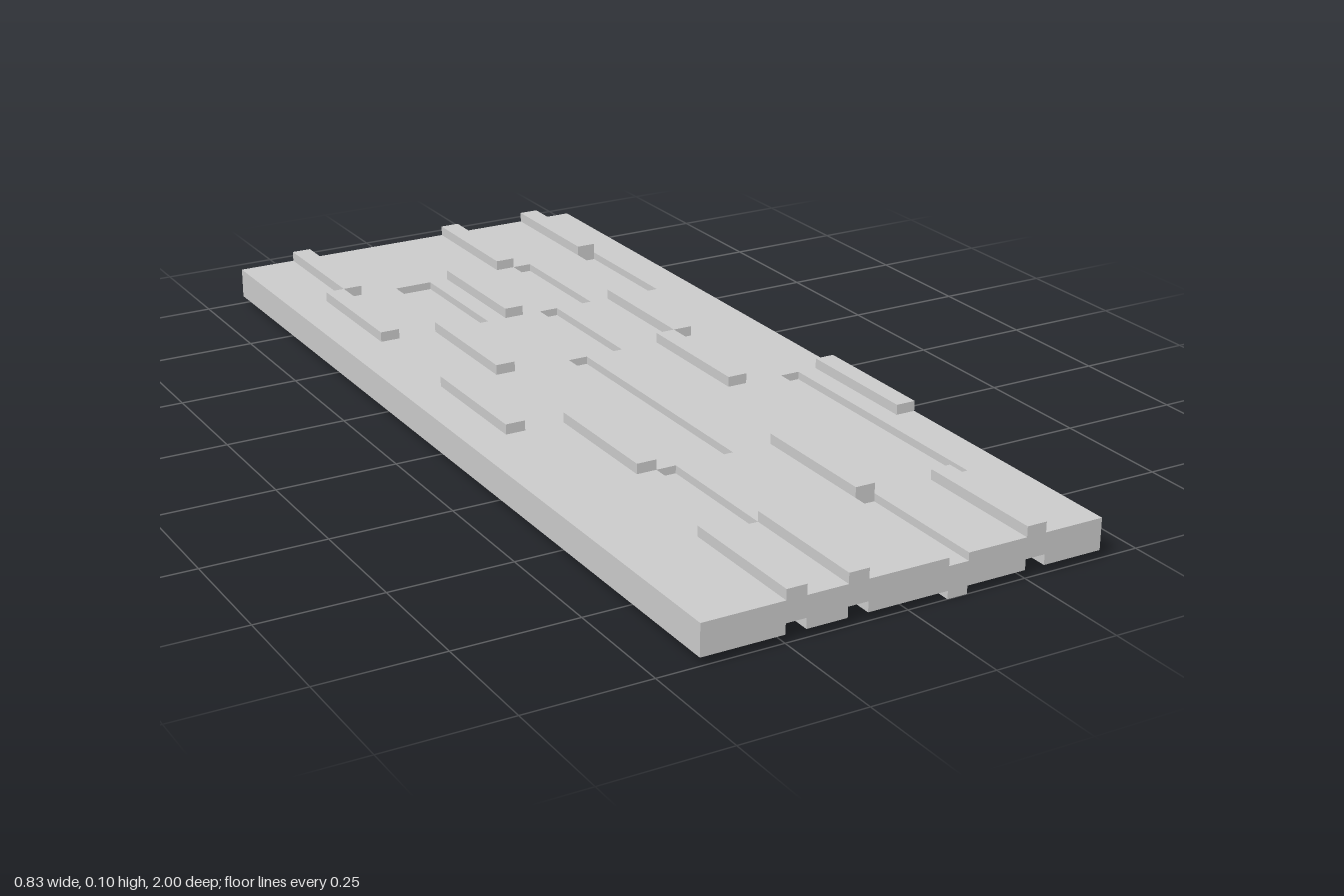
import * as THREE from 'three';

const COLS = 20, ROWS = 7, WIDTH = 0.832, LENGTH = 2;
const W = WIDTH / COLS, D = LENGTH / ROWS;
const BASE = 0.016, THICK = 0.0635, UP = 0.021, DOWN = -0.016;

// Height steps per strip (left edge of x first); one sign per block, back to front
const STEPS = {
  2: '.+.+...',
  3: '+......',
  4: '......+',
  5: '..+.+..',
  6: '.-...-.',
  7: '.-....+',
  9: '.+.--..',
  11: '..-....',
  12: '+....+-',
  13: '.-.....',
  14: '...+...',
  15: '..+....',
  16: '......+',
  17: '+-..--.',
  19: '....+..',
};

const LEVEL = { '.': 0, '+': UP, '-': DOWN };
const NAME = { '.': 'plank', '+': 'raisedPlank', '-': 'loweredPlank' };

export function createModel() {
  const group = new THREE.Group();
  group.name = 'blockPanel';
  const material = new THREE.MeshStandardMaterial({ color: 0xcccccc, flatShading: true });

  for (let c = 0; c < COLS; c++) {
    const strip = new THREE.Group();
    strip.name = 'strip';
    strip.position.x = -WIDTH / 2 + (c + 0.5) * W;
    const steps = STEPS[c] ?? '.'.repeat(ROWS);

    // Neighbouring blocks at the same level form one plank
    for (let r = 0; r < ROWS;) {
      let end = r + 1;
      while (end < ROWS && steps[end] === steps[r]) end++;
      const plank = new THREE.Mesh(new THREE.BoxGeometry(W, THICK, (end - r) * D), material);
      plank.name = NAME[steps[r]];
      plank.position.set(0, BASE + THICK / 2 + LEVEL[steps[r]], -LENGTH / 2 + ((r + end) / 2) * D);
      strip.add(plank);
      r = end;
    }
    group.add(strip);
  }
  return group;
}
